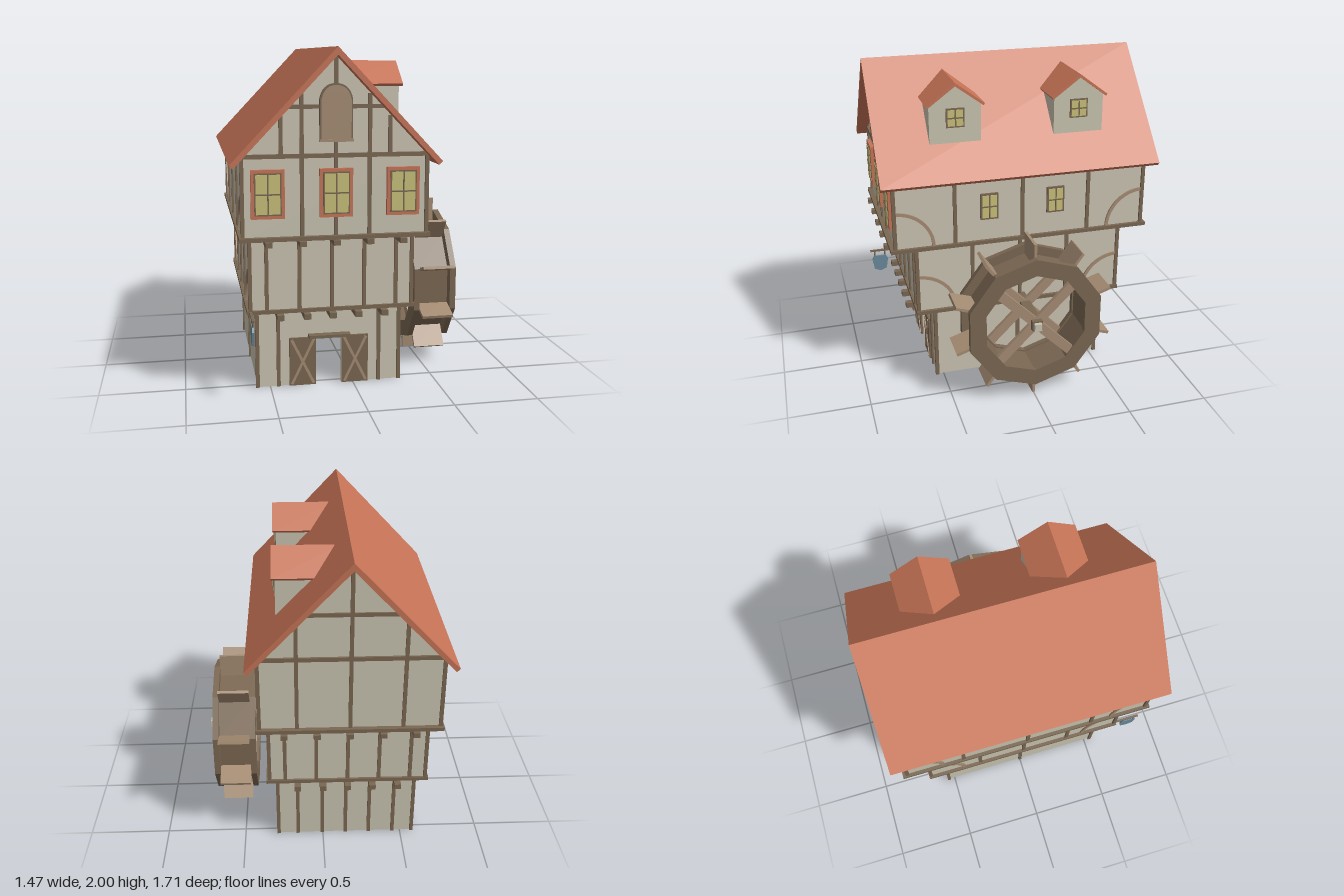
import * as THREE from 'three';

const CX = -0.145; // house centre line
const mat = (name, color) => Object.assign(new THREE.MeshStandardMaterial({ color }), { name });

export function createModel() {
  const plaster = mat('plaster', 0xcbc5b2);
  const darkWood = mat('darkWood', 0x7a6752);
  const lightWood = mat('lightWood', 0xa58c73);
  const tile = mat('roofTile', 0xc77457);
  const glass = mat('windowGlass', 0xc9c27a);
  const slate = mat('signBlue', 0x6a8a9c);

  const root = new THREE.Group();
  root.name = 'watermill';
  const group = (name, parent = root) => {
    const g = new THREE.Group();
    g.name = name;
    parent.add(g);
    return g;
  };
  const add = (parent, name, geo, m) => {
    const mesh = new THREE.Mesh(geo, m);
    mesh.name = name;
    parent.add(mesh);
    return mesh;
  };
  // box from minimum and maximum corners
  const box = (parent, name, m, x0, x1, y0, y1, z0, z1) => {
    const b = add(parent, name, new THREE.BoxGeometry(x1 - x0, y1 - y0, z1 - z0), m);
    b.position.set((x0 + x1) / 2, (y0 + y1) / 2, (z0 + z1) / 2);
    return b;
  };
  const poly = (pts) => new THREE.Shape(pts.map(([x, y]) => new THREE.Vector2(x, y)));
  const extrude = (shape, depth, curveSegments = 8) =>
    new THREE.ExtrudeGeometry(shape, { depth, bevelEnabled: false, curveSegments });

  // ---- walls ----
  const walls = group('walls');
  const front = poly([[-0.575, 0], [-0.225, 0], [-0.225, 0.3], [-0.07, 0.3], [-0.07, 0], [0.285, 0], [0.285, 0.5], [-0.575, 0.5]]);
  add(walls, 'groundFrontWall', extrude(front, 0.02), plaster).position.z = 0.52;
  box(walls, 'groundBackWall', plaster, -0.575, 0.285, 0, 0.5, -0.54, -0.52);
  box(walls, 'groundRightWall', plaster, 0.265, 0.285, 0, 0.5, -0.52, 0.52);
  box(walls, 'groundLeftWall', plaster, -0.575, -0.555, 0, 0.5, -0.52, 0.52);
  box(walls, 'middleStorey', plaster, -0.62, 0.33, 0.5, 0.95, -0.65, 0.65);
  const gable = poly([[-0.52, 0.955], [0.52, 0.955], [0.52, 1.41], [0, 1.96], [-0.52, 1.41]]);
  add(walls, 'upperStorey', extrude(gable, 1.56), plaster).position.set(CX, 0, -0.78);

  // ---- timber frame ----
  const frame = group('timberFrame');
  const W = 0.011; // half beam width
  box(frame, 'middleSill', darkWood, -0.64, 0.35, 0.488, 0.51, -0.665, 0.665);
  box(frame, 'upperSill', darkWood, -0.685, 0.395, 0.943, 0.966, -0.81, 0.81);
  for (const dx of [-0.305, -0.15, 0, 0.15, 0.305])
    box(frame, 'lowerJoist', darkWood, CX + dx - 0.02, CX + dx + 0.02, 0.455, 0.488, -0.705, 0.705);
  for (const dx of [-0.38, -0.19, 0, 0.19, 0.38])
    box(frame, 'upperJoist', darkWood, CX + dx - 0.02, CX + dx + 0.02, 0.914, 0.943, -0.83, 0.83);

  const storeys = [
    { hx: 0.43, hz: 0.54, y0: 0, y1: 0.49, sides: [0] },
    { hx: 0.475, hz: 0.65, y0: 0.51, y1: 0.943, sides: [-0.305, 0, 0.305] },
    { hx: 0.52, hz: 0.78, y0: 0.966, y1: 1.405, sides: [-0.418, 0, 0.418] },
  ];
  for (const { hx, hz, y0, y1, sides } of storeys) {
    for (const sx of [-1, 1]) {
      const x = CX + sx * hx;
      for (const sz of [-1, 1])
        box(frame, 'cornerPost', darkWood, x - W, x + W, y0, y1, sz * hz - W, sz * hz + W);
      for (const z of sides)
        box(frame, 'sidePost', darkWood, x - W, x + W, y0, y1, z - W, z + W);
    }
  }
  const endPost = (dx, y0, y1, z) =>
    box(frame, 'endPost', darkWood, CX + dx - W, CX + dx + W, y0, y1, z - W, z + W);
  const under = (dx) => 1.95 - 1.052 * Math.abs(dx);
  for (const dx of [-0.305, 0.305]) endPost(dx, 0, 0.49, 0.54);
  for (const dx of [-0.305, -0.15, 0, 0.15, 0.305]) endPost(dx, 0, 0.49, -0.54);
  for (const dx of [-0.38, -0.19, 0, 0.19, 0.38])
    for (const z of [-0.65, 0.65]) endPost(dx, 0.51, 0.943, z);
  for (const dx of [-0.19, 0, 0.19]) endPost(dx, 0.966, under(dx), 0.78);
  for (const dx of [-0.305, 0.305]) endPost(dx, 1.41, under(dx), 0.78);
  for (const dx of [-0.305, 0, 0.305]) endPost(dx, 0.966, under(dx), -0.78);
  for (const z of [-0.78, 0.78]) {
    box(frame, 'tieBeam', darkWood, CX - 0.53, CX + 0.53, 1.4, 1.424, z - 0.013, z + 0.013);
    box(frame, 'collarBeam', darkWood, CX - 0.265, CX + 0.265, 1.668, 1.69, z - W, z + W);
  }

  // curved corner braces on both side walls
  const brace = (r) => {
    const s = new THREE.Shape();
    s.absarc(0, 0, r + 0.01, 0, Math.PI / 2, false);
    s.absarc(0, 0, r - 0.01, Math.PI / 2, 0, true);
    return extrude(s, 0.02, 10).translate(0, 0, -0.01).rotateY(-Math.PI / 2);
  };
  for (const [hx, hz, y, r] of [[0.475, 0.65, 0.505, 0.235], [0.52, 0.78, 0.96, 0.23]])
    for (const sx of [-1, 1]) for (const sz of [-1, 1]) {
      const b = add(frame, 'cornerBrace', brace(r), lightWood);
      b.position.set(CX + sx * hx, y, sz * hz);
      if (sz > 0) b.rotation.y = Math.PI;
    }

  // ---- main roof ----
  const roof = poly([[0, 2], [-0.59, 1.376], [-0.57, 1.355], [0, 1.955], [0.57, 1.355], [0.59, 1.376]]);
  add(root, 'mainRoof', extrude(roof, 1.71), tile).position.set(CX, 0, -0.855);

  // ---- windows: built facing +z around their centre ----
  const makeWindow = (parent, w, h, rim, surround) => {
    const g = group('window', parent);
    if (surround) box(g, 'surround', tile, -w / 2 - 0.018, w / 2 + 0.018, -h / 2 - 0.018, h / 2 + 0.018, -0.01, 0.018);
    const z = surround ? 0.018 : 0.008;
    box(g, 'casing', darkWood, -w / 2, w / 2, -h / 2, h / 2, -0.01, z + 0.003);
    box(g, 'pane', glass, -w / 2 + rim, w / 2 - rim, -h / 2 + rim, h / 2 - rim, z, z + 0.006);
    box(g, 'mullion', darkWood, -0.004, 0.004, -h / 2 + rim, h / 2 - rim, z, z + 0.009);
    box(g, 'glazingBar', darkWood, -w / 2 + rim, w / 2 - rim, -0.004, 0.004, z, z + 0.009);
    return g;
  };
  for (const dx of [-0.38, 0, 0.38])
    makeWindow(root, 0.15, 0.235, 0.008, true).position.set(CX + dx, 1.206, 0.785);
  for (const z of [-0.208, 0.208]) {
    const w = makeWindow(root, 0.11, 0.165, 0.011, false);
    w.position.set(0.377, 1.183, z);
    w.rotation.y = Math.PI / 2;
  }

  // ---- arched loft hatch ----
  const arch = (w, y0, y1, top) => {
    const s = new THREE.Shape();
    s.moveTo(-w, y0);
    s.lineTo(w, y0);
    s.lineTo(w, y1);
    s.quadraticCurveTo(w * 0.8, top, 0, top);
    s.quadraticCurveTo(-w * 0.8, top, -w, y1);
    return s;
  };
  const hatch = group('loftHatch');
  hatch.position.set(CX, 0, 0.78);
  add(hatch, 'hatchFrame', extrude(arch(0.092, 1.49, 1.72, 1.805), 0.02), darkWood);
  add(hatch, 'hatchPanel', extrude(arch(0.083, 1.5, 1.718, 1.795), 0.026), lightWood);
  box(hatch, 'hatchSill', lightWood, -0.095, 0.095, 1.488, 1.503, 0, 0.03);

  // ---- dormers on the right slope ----
  for (const z of [-0.38, 0.38]) {
    const d = group('dormer');
    d.position.z = z;
    const body = poly([[-0.155, 1.5], [0.155, 1.5], [0.155, 1.79], [0, 1.905], [-0.155, 1.79]]);
    add(d, 'dormerWalls', extrude(body, 0.37).rotateY(Math.PI / 2), plaster).position.x = -0.1;
    const cap = poly([[0, 1.922], [-0.175, 1.792], [-0.167, 1.779], [0, 1.902], [0.167, 1.779], [0.175, 1.792]]);
    add(d, 'dormerRoof', extrude(cap, 0.395).rotateY(Math.PI / 2), tile).position.x = -0.105;
    const w = makeWindow(d, 0.11, 0.115, 0.009, false);
    w.position.set(0.268, 1.713, 0);
    w.rotation.y = Math.PI / 2;
  }

  // ---- entrance: opened door leaves and lintel ----
  for (const x of [-0.305, 0.013]) {
    const leaf = group('doorLeaf');
    leaf.position.set(x, 0.148, 0.545);
    box(leaf, 'doorBoards', darkWood, -0.08, 0.08, -0.148, 0.148, -0.008, 0.008);
    for (const s of [-1, 1]) {
      const b = add(leaf, 'doorBrace', new THREE.BoxGeometry(0.016, 0.305, 0.008), lightWood);
      b.position.z = 0.01;
      b.rotation.z = s * 0.45;
    }
  }
  box(root, 'doorLintel', darkWood, -0.27, -0.02, 0.297, 0.315, 0.53, 0.588);

  // ---- hanging sign ----
  const sign = group('hangingSign');
  box(sign, 'signBar', darkWood, -0.626, -0.612, 0.495, 0.507, 0.65, 0.83);
  for (const z of [0.728, 0.8]) box(sign, 'signHanger', darkWood, -0.622, -0.616, 0.45, 0.498, z - 0.004, z + 0.004);
  const shield = poly([[-0.04, 0.46], [-0.056, 0.435], [-0.043, 0.36], [0, 0.342], [0.043, 0.36], [0.056, 0.435], [0.04, 0.46]]);
  add(sign, 'signBoard', extrude(shield, 0.012).rotateY(Math.PI / 2), slate).position.set(-0.625, 0, 0.763);

  // ---- water wheel, turning about x ----
  const wheel = group('waterWheel');
  wheel.position.y = 0.512;
  const decagon = (r) => Array.from({ length: 10 }, (_, i) => {
    const a = Math.PI / 2 + (i * Math.PI) / 5;
    return [r * Math.cos(a), r * Math.sin(a)];
  });
  const ring = (name, ro, ri, x0, x1) => {
    const s = poly(decagon(ro));
    s.holes.push(poly(decagon(ri).reverse()));
    add(wheel, name, extrude(s, x1 - x0).rotateY(Math.PI / 2), darkWood).position.x = x0;
  };
  ring('innerRim', 0.43, 0.325, 0.42, 0.455);
  ring('outerRim', 0.43, 0.325, 0.65, 0.687);
  ring('drum', 0.37, 0.335, 0.455, 0.65);
  for (let i = 0; i < 10; i++) {
    const arm = group('paddleArm', wheel);
    arm.rotation.x = (i * Math.PI) / 5;
    box(arm, 'paddle', lightWood, 0.455, 0.65, 0.34, 0.51, -0.009, 0.009);
  }
  for (const x of [0.437, 0.668]) for (const s of [-1, 1]) {
    const spoke = add(wheel, 'spoke', new THREE.BoxGeometry(0.024, 0.67, 0.06), lightWood);
    spoke.position.x = x;
    spoke.rotation.x = (s * Math.PI) / 4;
  }
  box(wheel, 'axle', darkWood, 0.27, 0.71, -0.032, 0.032, -0.032, 0.032);
  box(wheel, 'axleTip', plaster, 0.7, 0.733, -0.023, 0.023, -0.023, 0.023);

  return root;
}
